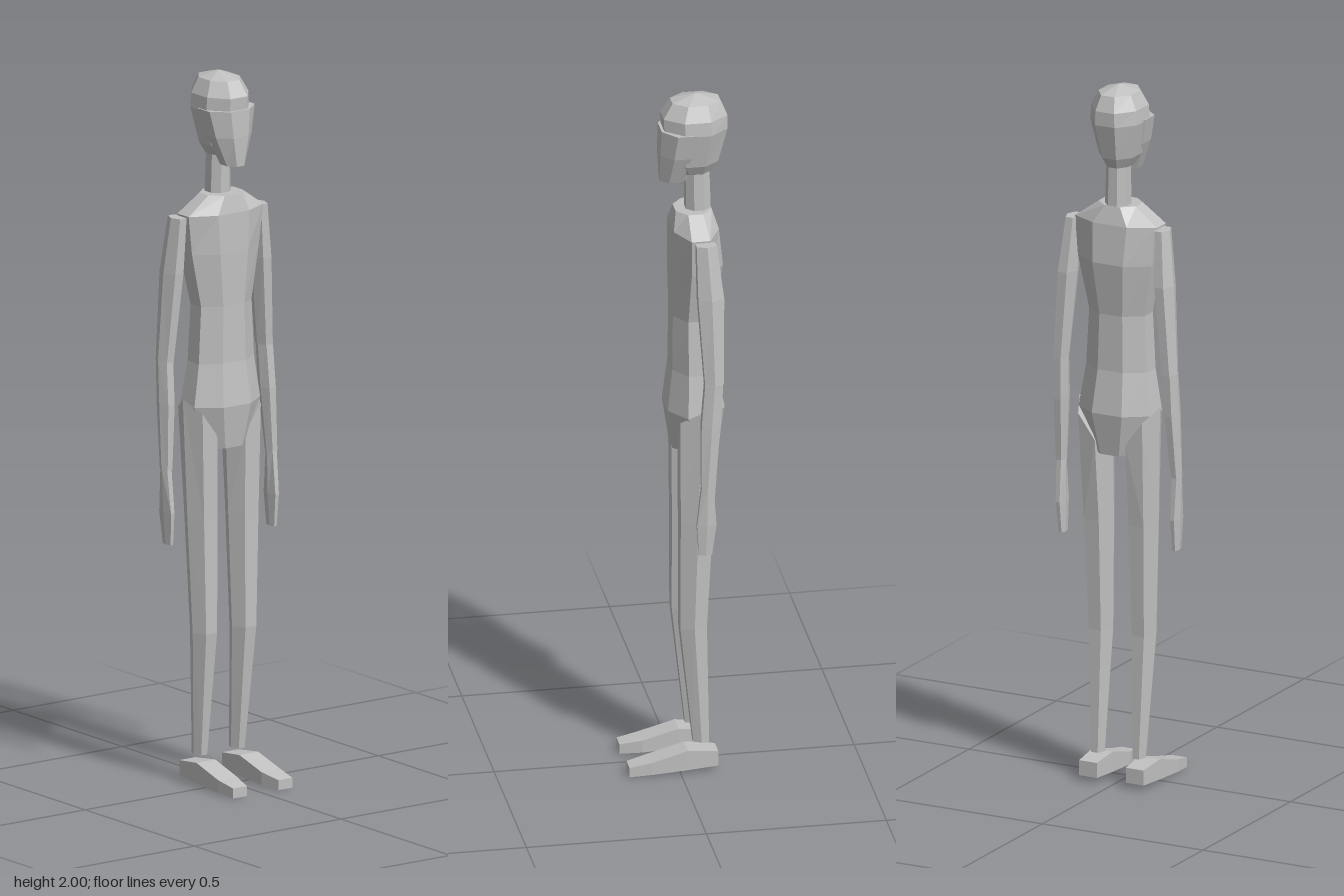
import * as THREE from 'three';

const skin = new THREE.MeshStandardMaterial({ color: 0xc0c0c0 });
skin.name = 'plain grey';

// Skins a list of equal-length rings with flat facets and closes both ends.
function loft(name, rings, mirror = 1) {
  const pos = [];
  const tri = (a, b, c) => {
    for (const p of mirror > 0 ? [a, b, c] : [a, c, b]) pos.push(p[0] * mirror, p[1], p[2]);
  };
  const n = rings[0].length;
  for (let i = 0; i < rings.length - 1; i++) {
    for (let j = 0; j < n; j++) {
      const k = (j + 1) % n;
      tri(rings[i][j], rings[i][k], rings[i + 1][k]);
      tri(rings[i][j], rings[i + 1][k], rings[i + 1][j]);
    }
  }
  const low = rings[0], high = rings[rings.length - 1];
  for (let j = 1; j < n - 1; j++) {
    tri(low[0], low[j + 1], low[j]);
    tri(high[0], high[j], high[j + 1]);
  }
  const geometry = new THREE.BufferGeometry();
  geometry.setAttribute('position', new THREE.Float32BufferAttribute(pos, 3));
  geometry.computeVertexNormals();
  const mesh = new THREE.Mesh(geometry, skin);
  mesh.name = name;
  return mesh;
}

// Horizontal polygon filling x0..x1 and zBack..zFront; tilt raises the +x side.
function ring(n, [y, x0, x1, zBack, zFront, tilt = 0]) {
  const phase = n === 8 ? Math.PI / 8 : 0;
  const raw = Array.from({ length: n }, (_, j) => {
    const t = phase + (j / n) * Math.PI * 2;
    return [Math.cos(t), Math.sin(t)];
  });
  const mx = Math.max(...raw.map(p => p[0])), mz = Math.max(...raw.map(p => p[1]));
  return raw.map(([c, s]) => [
    (x0 + x1) / 2 + (c / mx) * (x1 - x0) / 2,
    y + tilt * c / mx,
    (zBack + zFront) / 2 - (s / mz) * (zFront - zBack) / 2,
  ]);
}
const column = (name, n, sections, mirror) => loft(name, sections.map(s => ring(n, s)), mirror);
// Sections centred on x = 0: [y, half width, zBack, zFront]
const centred = (name, n, sections) =>
  column(name, n, sections.map(([y, w, b, f]) => [y, -w, w, b, f]));

export function createModel() {
  const group = new THREE.Group();
  group.name = 'figure';

  // Torso, neck and head
  group.add(centred('torso', 8, [
    [0.95, 0.07, -0.115, 0.01], [1.07, 0.112, -0.132, 0.026], [1.19, 0.094, -0.112, 0.012],
    [1.35, 0.086, -0.108, 0.01], [1.5, 0.114, -0.127, 0.012], [1.61, 0.127, -0.115, 0.01],
    [1.66, 0.058, -0.1, 0],
  ]));
  group.add(centred('neck', 8, [[1.64, 0.034, -0.1, -0.03], [1.8, 0.03, -0.095, -0.03]]));
  group.add(centred('skull', 8, [
    [1.77, 0.035, -0.1, -0.01], [1.8, 0.052, -0.118, 0.015], [1.9, 0.073, -0.143, 0.032],
    [1.94, 0.07, -0.143, 0.034], [1.982, 0.05, -0.125, 0.008], [2, 0.003, -0.063, -0.057],
  ]));
  group.add(centred('face', 8, [
    [1.748, 0.03, -0.035, 0.041], [1.83, 0.061, -0.07, 0.043], [1.905, 0.077, -0.09, 0.04],
  ]));

  for (const side of [1, -1]) {
    const label = side > 0 ? 'left' : 'right';
    const limb = (part, sections) => group.add(column(label + part, 6, sections, side));

    // Arm
    limb('UpperArm', [
      [1.2, 0.146, 0.192, -0.106, -0.054], [1.45, 0.122, 0.178, -0.11, -0.038],
      [1.605, 0.116, 0.16, -0.092, -0.036],
    ]);
    limb('Forearm', [
      [0.9, 0.163, 0.195, -0.078, -0.042], [1.08, 0.151, 0.194, -0.098, -0.044],
      [1.2, 0.148, 0.192, -0.104, -0.054],
    ]);
    limb('Hand', [
      [0.69, 0.168, 0.185, -0.073, -0.037], [0.78, 0.166, 0.19, -0.085, -0.031],
      [0.9, 0.165, 0.194, -0.076, -0.044],
    ]);

    // Leg, with the hip end slanting up to the outside
    limb('Leg', [
      [0.08, 0.044, 0.084, -0.084, -0.04], [0.43, 0.03, 0.104, -0.076, -0.002],
      [0.75, 0.023, 0.116, -0.092, -0.002], [1.02, 0.022, 0.125, -0.112, 0, 0.07],
    ]);

    // Foot: rectangular sections from heel to toe [z, x0, x1, y0, y1]
    const foot = [
      [-0.105, 0.045, 0.1, 0.015, 0.058], [-0.02, 0.041, 0.105, 0.01, 0.068],
      [0.08, 0.042, 0.106, 0.004, 0.04], [0.142, 0.054, 0.101, 0, 0.028],
    ].map(([z, x0, x1, y0, y1]) => [[x1, y0, z], [x1, y1, z], [x0, y1, z], [x0, y0, z]]);
    group.add(loft(label + 'Foot', foot, side));
  }
  return group;
}
